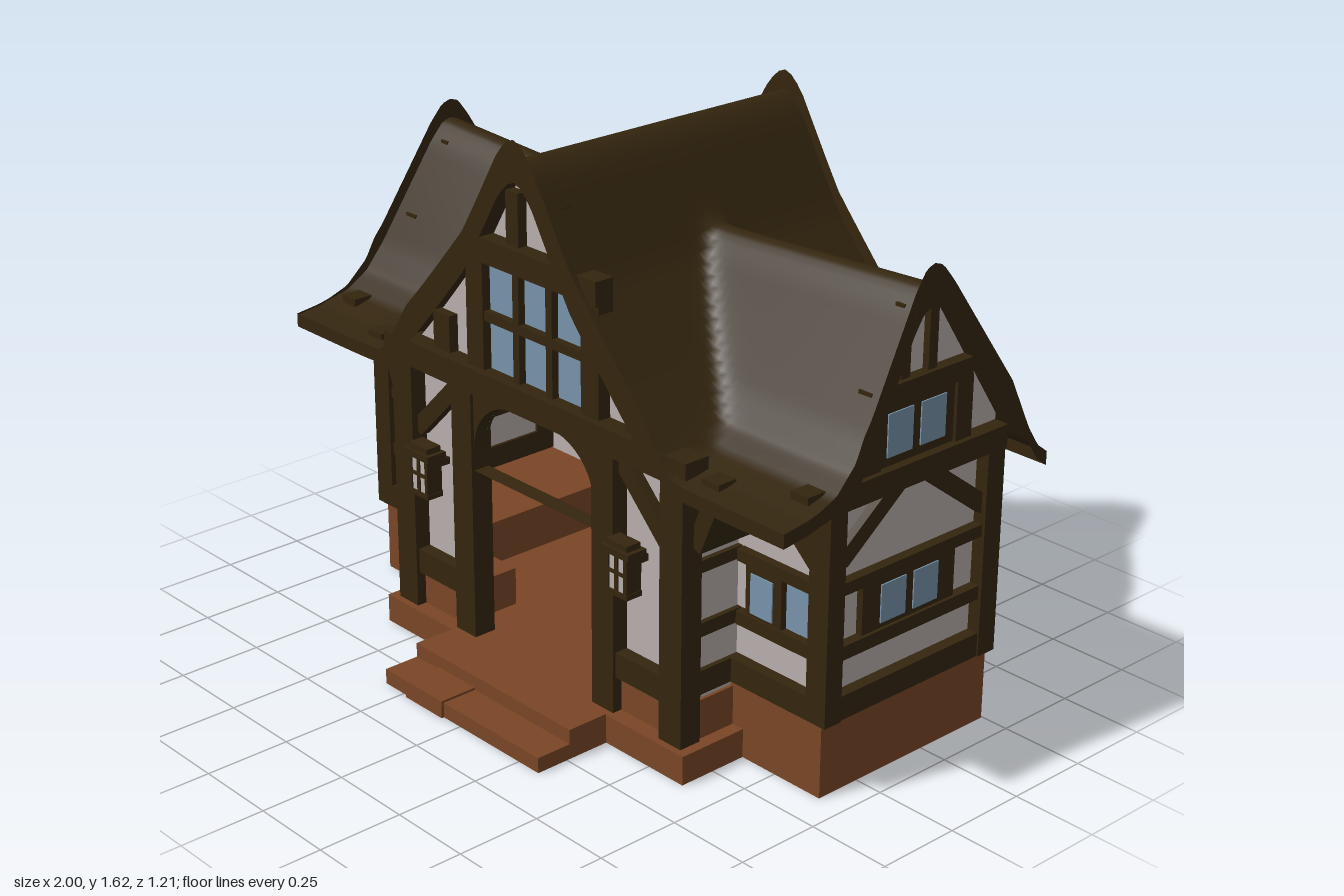
import * as THREE from 'three';

const mat = (name, color, side = THREE.FrontSide) => {
  const m = new THREE.MeshStandardMaterial({ color, side });
  m.name = name;
  return m;
};
const wood = mat('dark wood', 0x34260f);
const roofMat = mat('roof thatch', 0x34260f, THREE.DoubleSide);
const plaster = mat('plaster', 0xb9afac, THREE.DoubleSide);
const glass = mat('blue glass', 0x7894ab, THREE.DoubleSide);
const clay = mat('brown stone', 0x7a4626);

const clamp = (v) => Math.min(1, Math.max(0, v));

// Piecewise linear curve through [position, height] points
function curve(pts, v) {
  for (let i = 1; i < pts.length; i++) {
    const [a, ya] = pts[i - 1], [b, yb] = pts[i];
    if (v <= b) return ya + (yb - ya) * clamp((v - a) / (b - a));
  }
  return pts[pts.length - 1][1];
}
const mainPts = [[0, 1.567], [0.03, 1.556], [0.065, 1.52], [0.22, 1.265], [0.4, 1.055], [0.53, 0.91], [0.8, 0.62]];
const wingPts = [[-0.6, 0.79], [-0.56, 0.82], [-0.24, 1.3], [-0.2, 1.35], [-0.17, 1.36], [-0.14, 1.35], [-0.1, 1.3],
  [0.07, 1.02], [0.13, 0.94], [0.2, 0.895], [0.3, 0.87], [0.38, 0.86]];

// Roof height: a front-to-back ridge crossing a lower, slightly sagging side ridge
function roofY(x, z) {
  const a = curve(mainPts, Math.abs(x));
  let b = curve(wingPts, z);
  b -= 0.05 * (1 - Math.abs(x)) * clamp((b - 0.85) / 0.5);
  return 0.5 * (a + b + Math.sqrt((a - b) ** 2 + 0.0006));
}
function roofPoint(u, z) {
  const y = roofY(u * 0.97, z);
  return [u * (0.955 + 0.043 * clamp((1.36 - y) / 0.48)), y, z];
}

function add(parent, name, geo, material) {
  const m = new THREE.Mesh(geo, material);
  m.name = name;
  parent.add(m);
  return m;
}
function box(parent, name, material, x0, x1, y0, y1, z0, z1) {
  const m = add(parent, name, new THREE.BoxGeometry(Math.abs(x1 - x0), y1 - y0, z1 - z0), material);
  m.position.set((x0 + x1) / 2, (y0 + y1) / 2, (z0 + z1) / 2);
  return m;
}
// Slanted beam between two points of a facade
function brace(parent, x0, y0, x1, y1, w, z0, z1) {
  const m = add(parent, 'brace', new THREE.BoxGeometry(Math.hypot(x1 - x0, y1 - y0), w, z1 - z0), wood);
  m.position.set((x0 + x1) / 2, (y0 + y1) / 2, (z0 + z1) / 2);
  m.rotation.z = Math.atan2(y1 - y0, x1 - x0);
}
// Wall whose upper edge follows the roof; topAt gives the height at u
function wall(parent, name, u0, u1, y0, topAt, holes = []) {
  const s = new THREE.Shape();
  s.moveTo(u0, y0).lineTo(u1, y0);
  for (let i = 0; i <= 40; i++) {
    const u = u1 + (u0 - u1) * i / 40;
    s.lineTo(u, topAt(u) - 0.006);
  }
  s.holes.push(...holes);
  return add(parent, name, new THREE.ShapeGeometry(s), plaster);
}
function archPath(P, w, y0, spring, top) {
  const p = new P();
  p.moveTo(-w, y0).lineTo(w, y0).lineTo(w, spring);
  p.bezierCurveTo(w, top - 0.06, w - 0.09, top, w - 0.17, top);
  p.lineTo(-w + 0.17, top);
  p.bezierCurveTo(-w + 0.09, top, -w, top - 0.06, -w, spring);
  return p;
}

function buildRoof(g) {
  const geo = new THREE.PlaneGeometry(2, 0.98, 80, 70);
  const p = geo.attributes.position;
  // plane rows run from back to front
  for (let i = 0; i < p.count; i++) p.setXYZ(i, ...roofPoint(p.getX(i), -0.11 - p.getY(i)));
  geo.computeVertexNormals();
  add(g, 'roof', geo, roofMat);

  // Edge boards, deeper along the steep gables
  const n = 80;
  const board = (name, at) => {
    const b = new THREE.PlaneGeometry(1, 1, n, 1), q = b.attributes.position;
    for (let i = 0; i <= n; i++) {
      const [x, y, z] = at(i / n), t = clamp((y - 0.88) / 0.1);
      q.setXYZ(i, x, y + 0.005 + 0.05 * t, z);
      q.setXYZ(i + n + 1, x, y - 0.035 - 0.025 * t, z);
    }
    b.computeVertexNormals();
    add(g, name, b, roofMat);
  };
  board('frontBargeBoard', (t) => roofPoint(t * 2 - 1, 0.38));
  board('backBargeBoard', (t) => roofPoint(1 - t * 2, -0.6));
  for (const s of [1, -1]) {
    board('sideBargeBoard', (t) => roofPoint(s, s * (0.49 - t * 0.98) - 0.11));
    // Loose shingles near the eaves
    for (const [x, z] of [[0.57, 0.3], [0.69, 0.3], [0.92, 0.22]]) {
      const y = roofY(x, z);
      box(g, 'shingle', wood, s * (x - 0.03), s * (x + 0.03), y - 0.01, y + 0.015, z - 0.03, z + 0.03);
    }
  }
}

// Two-pane window set in a wooden frame
function twinWindow(g, u, y0, y1, frame, half) {
  box(g, 'windowFrame', wood, u - half, u + half, y0 - frame, y1 + frame, 0, 0.02);
  for (const s of [1, -1]) box(g, 'windowPane', glass, u + s * 0.015, u + s * 0.108, y0, y1, 0.018, 0.024);
}

// Side facade, drawn with z along local x and outward as local z
function buildSide(g, s) {
  const f = new THREE.Group();
  f.name = s > 0 ? 'leftFacade' : 'rightFacade';
  f.position.x = s * 0.9;
  f.rotation.y = s * Math.PI / 2;
  g.add(f);
  const U = (z) => -s * z;
  const bar = (z0, z1, y0, y1, d = 0.03) => box(f, 'timber', wood, U(z0), U(z1), y0, y1, -0.01, d);
  wall(f, 'sideWall', Math.min(U(0.13), U(-0.5)), Math.max(U(0.13), U(-0.5)), 0.2, (u) => roofY(0.9, -s * u));
  bar(0.095, 0.155, 0.22, 0.86, 0.04);
  bar(-0.5, -0.435, 0.22, 0.84, 0.04);
  bar(0.155, -0.5, 0.22, 0.29, 0.035);
  bar(0.1, -0.45, 0.39, 0.43);
  bar(0.1, -0.45, 0.575, 0.61);
  bar(0.16, -0.5, 0.82, 0.885, 0.045);
  bar(0.02, -0.36, 1.055, 1.11, 0.035);
  for (const z of [0.0, -0.34]) bar(z + 0.03, z - 0.03, 0.88, 1.06);
  for (const z of [-0.12, -0.22]) bar(z + 0.016, z - 0.016, 1.1, 1.31, 0.02);
  brace(f, U(0.09), 0.67, U(-0.12), 0.83, 0.05, -0.01, 0.025);
  brace(f, U(-0.22), 0.83, U(-0.45), 0.66, 0.05, -0.01, 0.025);
  twinWindow(f, U(-0.168), 0.445, 0.555, 0.025, 0.175);
  twinWindow(f, U(-0.168), 0.91, 1.03, 0.025, 0.145);
}

function buildLantern(g, x) {
  const l = new THREE.Group();
  l.name = 'lantern';
  l.position.set(x, 0, 0.375);
  g.add(l);
  box(l, 'lanternGlass', plaster, -0.035, 0.035, 0.5, 0.61, -0.022, 0.022);
  box(l, 'lanternCap', wood, -0.054, 0.054, 0.605, 0.625, -0.032, 0.032);
  box(l, 'lanternTop', wood, -0.04, 0.04, 0.625, 0.642, -0.024, 0.024);
  box(l, 'lanternFoot', wood, -0.043, 0.043, 0.488, 0.503, -0.027, 0.027);
  box(l, 'lanternBar', wood, -0.039, 0.039, 0.55, 0.56, -0.026, 0.026);
  for (const bx of [-0.035, 0, 0.035]) box(l, 'lanternBar', wood, bx - 0.006, bx + 0.006, 0.5, 0.61, -0.026, 0.026);
  box(l, 'lanternArm', wood, -0.01, 0.01, 0.56, 0.58, -0.08, -0.02);
}

// One half of the front: wing facade, porch posts and side panel
function buildFrontHalf(g, s) {
  const bar = (x0, x1, y0, y1, z0, z1, m = wood, n = 'timber') => box(g, n, m, s * x0, s * x1, y0, y1, z0, z1);
  // Wing
  bar(0.58, 0.915, 0, 0.22, -0.495, 0.14, clay, 'wingBase');
  bar(0.58, 0.9, 0.2, 0.862, 0.11, 0.12, plaster, 'wingWall');
  bar(0.87, 0.935, 0.22, 0.86, 0.1, 0.155);
  bar(0.58, 0.935, 0.22, 0.29, 0.1, 0.155);
  bar(0.6, 0.88, 0.39, 0.43, 0.11, 0.145);
  bar(0.6, 0.88, 0.575, 0.61, 0.11, 0.145);
  bar(0.63, 0.76, 0.42, 0.58, 0.11, 0.14, wood, 'windowFrame');
  bar(0.65, 0.73, 0.44, 0.555, 0.138, 0.144, glass, 'windowPane');
  bar(0.765, 0.865, 0.435, 0.57, 0.118, 0.126, glass, 'windowPane');
  brace(g, s * 0.88, 0.66, s * 0.68, 0.84, 0.05, 0.11, 0.145);
  brace(g, s * 0.6, 0.66, s * 0.68, 0.85, 0.05, 0.11, 0.3);
  // Return wall between wing and porch
  bar(0.57, 0.58, 0.2, 0.86, 0.11, 0.29, plaster, 'returnWall');
  for (const [a, b] of [[0.22, 0.29], [0.39, 0.43], [0.575, 0.61]]) bar(0.57, 0.595, a, b, 0.12, 0.29);
  // Porch
  bar(0.335, 0.59, 0.08, 0.2, 0.12, 0.31, clay, 'porchBase');
  bar(0.515, 0.6, 0.08, 0.86, 0.27, 0.34);
  bar(0.25, 0.335, 0.08, 0.86, 0.27, 0.34);
  bar(0.33, 0.52, 0.19, 0.265, 0.28, 0.33);
  brace(g, s * 0.52, 0.64, s * 0.33, 0.83, 0.05, 0.28, 0.32);
  buildLantern(g, s * 0.415);
  // Gable timbers
  bar(0.2, 0.27, 0.9, 1.24, 0.28, 0.33);
  bar(0.36, 0.43, 0.9, roofY(0.43, 0.3), 0.28, 0.32);
  bar(0.058, 0.108, 1.29, 1.45, 0.28, 0.32);
  bar(0.055, 0.08, 0.91, 1.23, 0.29, 0.325, wood, 'windowBar');
}

export function createModel() {
  const g = new THREE.Group();
  g.name = 'timberHouse';

  // Stone floor and steps
  box(g, 'floor', clay, -0.63, 0.63, 0, 0.085, -0.495, 0.36);
  box(g, 'upperStep', clay, -0.33, 0.33, 0, 0.088, 0.36, 0.49);
  box(g, 'lowerStep', clay, -0.33, 0.33, 0, 0.045, 0.49, 0.6);
  box(g, 'stepStone', clay, -0.23, -0.07, 0, 0.052, 0.48, 0.608);

  // Walls
  const back = wall(g, 'backWall', -0.9, 0.9, 0, (x) => roofY(x, -0.5));
  back.position.z = -0.5;
  const front = wall(g, 'frontWall', -0.58, 0.58, 0.08, (x) => roofY(x, 0.29),
    [archPath(THREE.Path, 0.25, 0.085, 0.66, 0.83)]);
  front.position.z = 0.29;
  box(g, 'innerPanel', glass, -0.57, 0.57, 0.13, 1.0, -0.496, -0.49);

  // Arched door surround
  const surround = new THREE.Shape();
  surround.moveTo(-0.27, 0.6).lineTo(0.27, 0.6).lineTo(0.27, 0.86).lineTo(-0.27, 0.86);
  surround.holes.push(archPath(THREE.Path, 0.25, 0.601, 0.66, 0.83));
  add(g, 'doorArch', new THREE.ExtrudeGeometry(surround, { depth: 0.05, bevelEnabled: false, curveSegments: 10 }), wood)
    .position.z = 0.28;

  // Gable beams and window
  box(g, 'lintel', wood, -0.62, 0.62, 0.84, 0.915, 0.27, 0.35);
  box(g, 'collarBeam', wood, -0.27, 0.27, 1.23, 1.3, 0.28, 0.34);
  box(g, 'gableWindow', glass, -0.2, 0.2, 0.915, 1.23, 0.295, 0.303);
  box(g, 'windowBar', wood, -0.2, 0.2, 1.058, 1.085, 0.29, 0.325);

  for (const s of [1, -1]) {
    buildFrontHalf(g, s);
    buildSide(g, s);
  }
  buildRoof(g);
  return g;
}
